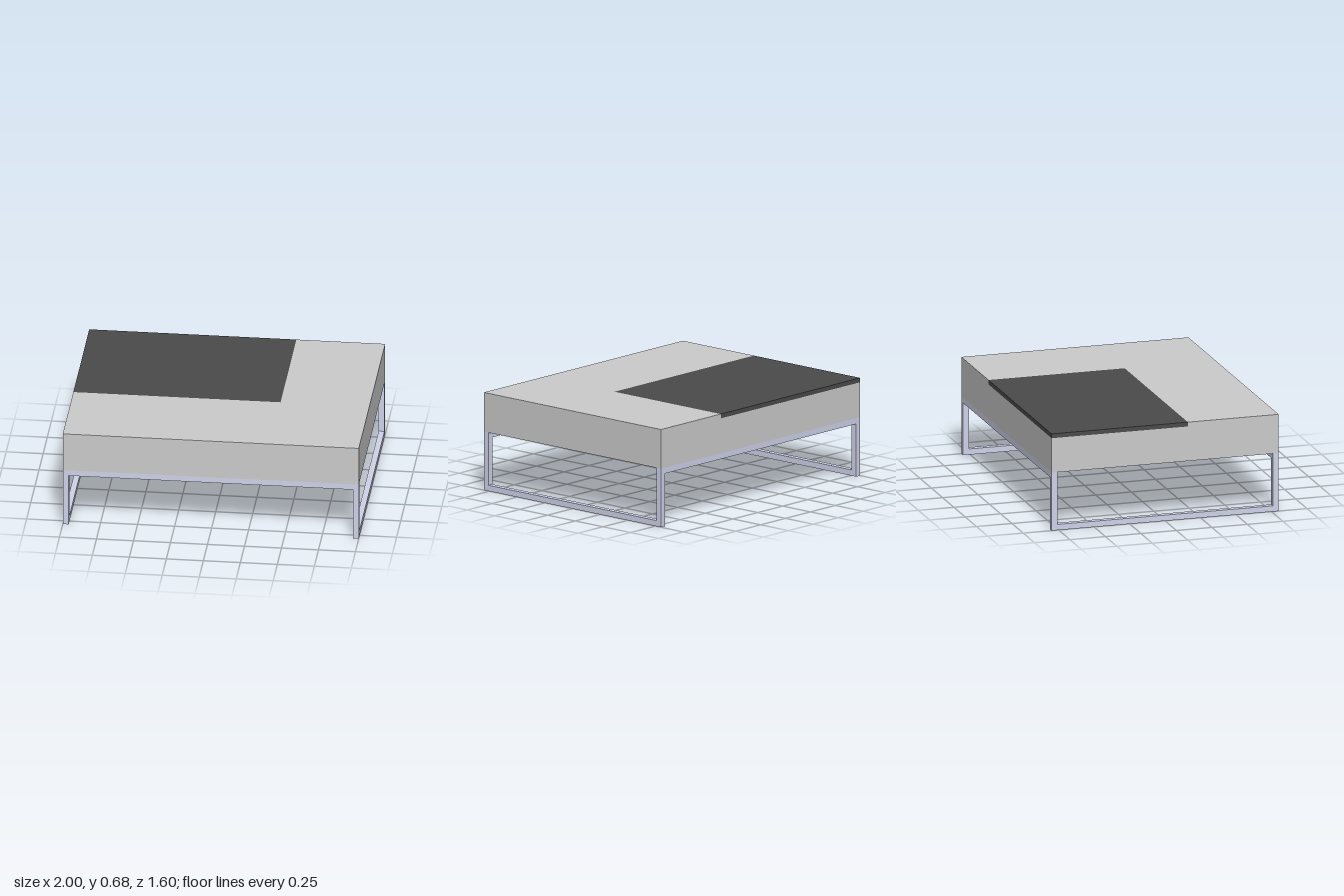
import * as THREE from 'three';

const W = 2, D = 1.6, TOP = 0.675, UNDER = 0.404, TUBE = 0.04;
const PANEL = { x: 0.4, z: 0.16, t: 0.03 }; // inner corner and thickness of the inlaid panel

export function createModel() {
  const table = new THREE.Group();
  table.name = 'coffeeTable';

  const grey = new THREE.MeshStandardMaterial({ color: 0xcccccc });
  const dark = new THREE.MeshStandardMaterial({ color: 0x4b4b4b });
  const metal = new THREE.MeshStandardMaterial({ color: 0xd0d4ea });

  // Box given by its minimum and maximum corners
  const box = (name, material, min, max, parent = table) => {
    const size = max.map((v, i) => v - min[i]);
    const mesh = new THREE.Mesh(new THREE.BoxGeometry(...size), material);
    mesh.position.set(...max.map((v, i) => (v + min[i]) / 2));
    mesh.name = name;
    parent.add(mesh);
  };

  const hx = W / 2, hz = D / 2;

  // Body: one solid block with a notch at the back corner for the panel
  const seam = TOP - PANEL.t;
  box('body', grey, [-hx, UNDER, -hz], [hx, seam, hz]);
  const outline = new THREE.Shape([
    [-hx, -hz], [hx, -hz], [hx, hz], [PANEL.x, hz], [PANEL.x, -PANEL.z], [-hx, -PANEL.z],
  ].map(([x, y]) => new THREE.Vector2(x, y)));
  const surround = new THREE.Mesh(
    new THREE.ExtrudeGeometry(outline, { depth: PANEL.t, bevelEnabled: false }).rotateX(-Math.PI / 2),
    grey,
  );
  surround.position.y = seam;
  surround.name = 'topSurround';
  table.add(surround);

  // Dark panel, flush with the top and the outer edges
  box('topPanel', dark, [-hx, seam, -hz], [PANEL.x, TOP, PANEL.z]);

  // Square-tube frame: four legs, floor runners at the sides, upper rails front and back
  const frame = new THREE.Group();
  frame.name = 'frame';
  table.add(frame);
  const ix = hx - TUBE, iz = hz - TUBE;
  for (const s of [-1, 1]) {
    const x0 = s > 0 ? ix : -hx, z0 = s > 0 ? iz : -hz;
    box('floorRunner', metal, [x0, 0, -iz], [x0 + TUBE, TUBE, iz], frame);
    box('upperRail', metal, [-ix, UNDER - TUBE, z0], [ix, UNDER, z0 + TUBE], frame);
    for (const z of [-hz, iz]) box('leg', metal, [x0, 0, z], [x0 + TUBE, UNDER, z + TUBE], frame);
  }

  return table;
}
